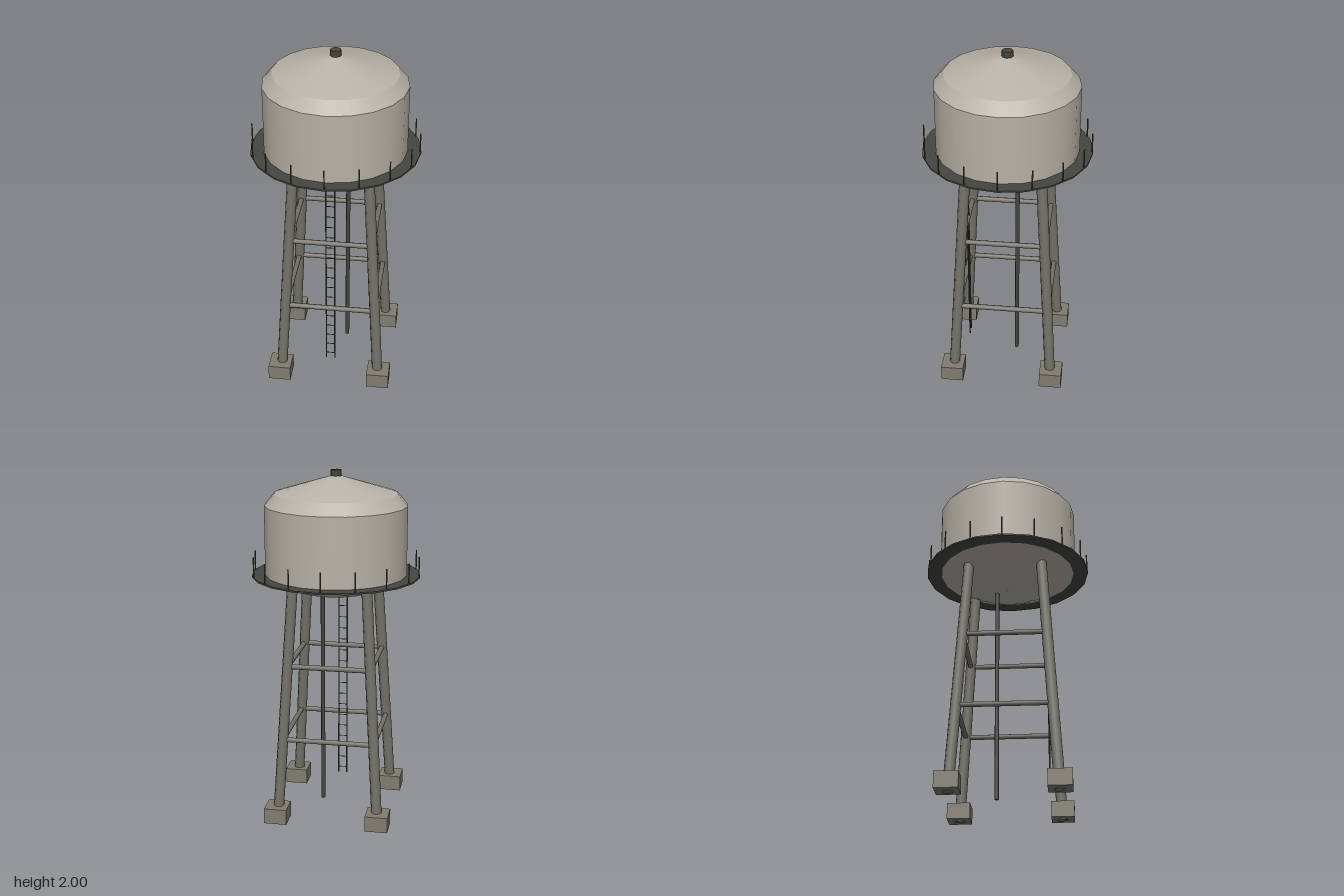
import * as THREE from 'three';

const mat = (name, color, side = THREE.FrontSide) => {
  const m = new THREE.MeshStandardMaterial({ color, side });
  m.name = name;
  return m;
};

export function createModel() {
  const model = new THREE.Group();
  model.name = 'waterTower';
  const tankPaint = mat('tankPaint', 0xb8b2a7);
  const steel = mat('legSteel', 0x75736a);
  const concrete = mat('concrete', 0x807c71);
  const dark = mat('darkSteel', 0x454640);

  const add = (name, geometry, material, x = 0, y = 0, z = 0) => {
    const mesh = new THREE.Mesh(geometry, material);
    mesh.name = name;
    mesh.position.set(x, y, z);
    model.add(mesh);
    return mesh;
  };
  // Open frustum between two heights
  const frustum = (name, rTop, yTop, rBottom, yBottom) =>
    add(name, new THREE.CylinderGeometry(rTop, rBottom, yTop - yBottom, 20, 1, true),
      tankPaint, 0, (yTop + yBottom) / 2, 0);
  // Round bar between two points
  const bar = (name, a, b, radius, sides, material) => {
    const dir = b.clone().sub(a);
    const mesh = add(name, new THREE.CylinderGeometry(radius, radius, dir.length(), sides), material);
    mesh.position.copy(a).add(b).multiplyScalar(0.5);
    mesh.quaternion.setFromUnitVectors(new THREE.Vector3(0, 1, 0), dir.normalize());
    return mesh;
  };
  const v = (x, y, z) => new THREE.Vector3(x, y, z);

  // Tank: roof, shoulder, wall and shallow bowl
  frustum('roof', 0.01, 1.973, 0.345, 1.872);
  frustum('shoulder', 0.345, 1.872, 0.4, 1.808);
  frustum('tankWall', 0.4, 1.808, 0.4, 1.415);
  frustum('bowlSide', 0.4, 1.415, 0.24, 1.338);
  frustum('bowlBottom', 0.24, 1.338, 0.001, 1.315);
  add('vent', new THREE.CylinderGeometry(0.031, 0.031, 0.04, 8), dark, 0, 1.98, 0);

  // Walkway ring around the tank
  const ring = [[0.385, 1.41], [0.475, 1.41], [0.475, 1.419], [0.385, 1.419], [0.385, 1.41]];
  const ringGeometry = new THREE.LatheGeometry(ring.map(p => new THREE.Vector2(...p)), 20).toNonIndexed();
  ringGeometry.computeVertexNormals();
  add('walkway', ringGeometry, dark);

  // Railing posts
  for (let i = 0; i < 16; i++) {
    const a = (i / 16) * Math.PI * 2;
    add('railingPost', new THREE.CylinderGeometry(0.004, 0.004, 0.115, 6), dark,
      0.468 * Math.sin(a), 1.472, 0.468 * Math.cos(a));
  }

  // Legs lean inwards from their footings
  const legOffset = y => 0.29 - 0.06 * y;
  for (const sx of [-1, 1]) for (const sz of [-1, 1]) {
    const lo = legOffset(0.003), hi = legOffset(1.375);
    bar('leg', v(sx * lo, 0.003, sz * lo), v(sx * hi, 1.375, sz * hi), 0.03, 8, steel);
    add('footing', new THREE.BoxGeometry(0.13, 0.09, 0.13), concrete, sx * 0.292, 0.053, sz * 0.292);
  }

  // Horizontal braces on all four sides
  for (const y of [0.495, 0.926]) {
    const d = legOffset(y);
    for (const s of [-1, 1]) {
      bar('brace', v(-d, y, s * d), v(d, y, s * d), 0.015, 8, steel);
      bar('brace', v(s * d, y, -d), v(s * d, y, d), 0.015, 8, steel);
    }
  }

  // Ladder
  for (const s of [-1, 1]) {
    bar('ladderRail', v(s * 0.025, 0.105, 0.23), v(s * 0.025, 1.345, 0.23), 0.004, 6, dark);
  }
  for (let i = 0; i < 18; i++) {
    const y = 0.14 + i * 0.0685;
    bar('ladderRung', v(-0.025, y, 0.23), v(0.025, y, 0.23), 0.0025, 5, dark);
  }

  // Supply pipe
  bar('supplyPipe', v(0.065, 0.063, -0.065), v(0.065, 1.33, -0.065), 0.012, 8, dark);

  return model;
}
